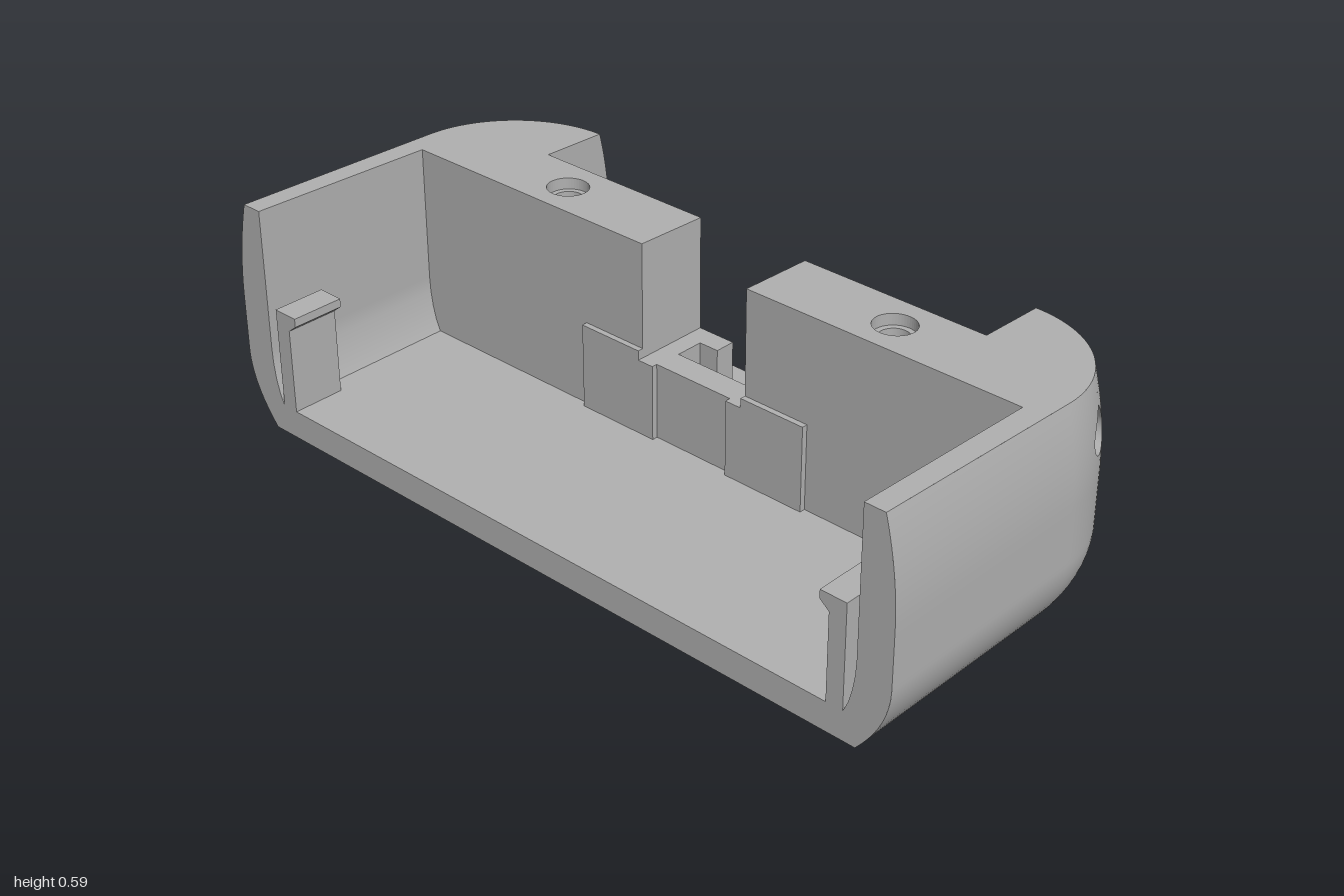
import * as THREE from 'three';

const FRONT = 0.46, FLOOR = 0.075, CX = 0.67, CZ = -0.13, R = 0.33;
const rad = THREE.MathUtils.degToRad, lerp = THREE.MathUtils.lerp;
const V = (x, y, z) => new THREE.Vector3(x, y, z);

// Sloping rim height, and how far the rounded outer wall leans in at a height
const top = z => 0.577 + 0.028 * z;
const inset = y => y < 0.19 ? 0.085 * ((0.19 - y) / 0.19) ** 2
  : y > 0.33 ? 0.033 * ((y - 0.33) / 0.25) ** 2 : 0;

// Outer skin: s < 0 runs along the straight side, s > 0 is the corner angle;
// q is the height, with 0.53..0.6 stretched to reach the sloping rim
function skin(s, q) {
  const a = Math.max(s, 0), dz = Math.max(-s, 0);
  let y = q;
  if (q > 0.53) y = lerp(0.53, top(CZ - 0.297 * Math.sin(a) + dz), (q - 0.53) / 0.07);
  const r = R - inset(y), slope = (inset(y + 1e-3) - inset(y - 1e-3)) / 2e-3;
  return {
    p: V(CX + r * Math.cos(a), y, CZ - r * Math.sin(a) + dz),
    n: V(Math.cos(a), slope, -Math.sin(a)).normalize()
  };
}

// Surface patch from fn(u, v) -> { p, n }; without n the normals are computed
function patch(fn, nu, nv) {
  const pos = [], nor = [], idx = [], pts = [];
  for (let j = 0; j <= nv; j++) for (let i = 0; i <= nu; i++) {
    const k = fn(i / nu, j / nv);
    pts.push(k);
    pos.push(...k.p.toArray());
    if (k.n) nor.push(...k.n.toArray());
  }
  const tri = (a, b, c) => {
    const f = pts[b].p.clone().sub(pts[a].p).cross(pts[c].p.clone().sub(pts[a].p));
    if (pts[a].n && f.dot(pts[a].n) < 0) idx.push(a, c, b); else idx.push(a, b, c);
  };
  for (let j = 0; j < nv; j++) for (let i = 0; i < nu; i++) {
    const a = j * (nu + 1) + i, b = a + nu + 1;
    tri(a, a + 1, b + 1);
    tri(a, b + 1, b);
  }
  const g = new THREE.BufferGeometry();
  g.setAttribute('position', new THREE.Float32BufferAttribute(pos, 3));
  g.setIndex(idx);
  if (nor.length) g.setAttribute('normal', new THREE.Float32BufferAttribute(nor, 3));
  else g.computeVertexNormals();
  return g;
}

const skinPatch = (s0, s1, q0, q1, nu, nv) =>
  patch((u, v) => skin(lerp(s0, s1, u), lerp(q0, q1, v)), nu, nv);

const shape = pts => new THREE.Shape(pts.map(([x, y]) => new THREE.Vector2(x, y)));
const plan = pts => shape(pts.map(([x, z]) => [x, -z]));
const flat = (s, y) => new THREE.ShapeGeometry(s).rotateX(-Math.PI / 2).translate(0, y, 0);
const rise = (s, y0, y1) => new THREE.ExtrudeGeometry(s, { depth: y1 - y0, bevelEnabled: false, curveSegments: 24 })
  .rotateX(-Math.PI / 2).translate(0, y0, 0);

// Moves upper vertices onto the sloping rim plane
function slopeTop(g) {
  const p = g.attributes.position;
  for (let i = 0; i < p.count; i++) if (p.getY(i) > 0.3) p.setY(i, top(p.getZ(i)));
  g.computeVertexNormals();
  return g;
}

// Teardrop pockets: pocket direction, sideways offset, floor distance, corner window
const DROPS = [
  { dir: 0, off: 0.14, floor: 0.2, w: [rad(14), rad(37)] },
  { dir: rad(57), off: 0, floor: 0.18, w: [rad(46), rad(68)] }
];
const BANDS = [[0, 0.37, 20], [0.37, 0.53, 10], [0.53, 0.6, 5]];

function dropPoint(d, u) {
  const th = (u - 0.5) * Math.PI * 2, beta = Math.acos(0.043 / 0.07), t = Math.abs(th);
  const r = t < beta ? 0.043 / Math.cos(beta - t) : 0.043;
  const y = 0.433 + r * Math.cos(th);
  return { th, y, a: d.dir + Math.asin((d.off + r * Math.sin(th)) / (R - inset(y))) };
}

function addDrop(add, d) {
  const N = 48, axis = V(Math.cos(d.dir), 0, -Math.sin(d.dir)), c = V(CX, 0, CZ);
  add('dropSurround', patch((u, v) => {
    const k = dropPoint(d, u), sx = Math.sin(k.th), sy = Math.cos(k.th);
    const m = Math.max(Math.abs(sx), Math.abs(sy));
    const a = (d.w[0] + d.w[1]) / 2 + (d.w[1] - d.w[0]) / 2 * sx / m;
    return skin(lerp(k.a, a, v), lerp(k.y, 0.45 + 0.08 * sy / m, v));
  }, N, 5));
  const ends = u => {
    const k = dropPoint(d, u), p = skin(k.a, k.y).p;
    return [p, p.clone().addScaledVector(axis, d.floor - p.clone().sub(c).dot(axis))];
  };
  add('dropPocketWall', patch((u, v) => {
    const [p, e] = ends(u);
    return { p: p.lerp(e, v) };
  }, N, 1));
  const mid = c.clone().addScaledVector(axis, d.floor)
    .add(V(-Math.sin(d.dir), 0, -Math.cos(d.dir)).multiplyScalar(d.off)).setY(0.433);
  add('dropPocketFloor', patch((u, v) => ({ p: ends(u)[1].lerp(mid, v) }), N, 1));
}

function buildHalf(mat, withDrops) {
  const g = new THREE.Group();
  const add = (name, geo) => {
    const m = new THREE.Mesh(geo, mat);
    m.name = name;
    g.add(m);
  };

  // Outer side wall and rounded back corner
  const sFront = -(FRONT - CZ);
  for (const [q0, q1, n] of BANDS) {
    add('sideWall', skinPatch(sFront, 0, q0, q1, 4, n));
    const cuts = [0, ...DROPS.flatMap(d => d.w), Math.PI / 2];
    for (let i = 0; i < cuts.length - 1; i++)
      if (!(withDrops && q0 === 0.37 && i % 2 === 1))
        add('backCorner', skinPatch(cuts[i], cuts[i + 1], q0, q1, 8, n));
  }
  if (withDrops) DROPS.forEach(d => addDrop(add, d));

  // Outline of the skin at one height, front to back
  const outline = q => {
    const pts = [skin(sFront, q).p];
    for (let i = 0; i <= 40; i++) pts.push(skin(i / 40 * Math.PI / 2, q).p);
    return pts.map(p => [p.x, p.z]);
  };

  // Underside, floor and low back edge
  add('underside', flat(plan([[0, FRONT], ...outline(0), [0, CZ - R + inset(0)]]), 0));
  const backZ = CZ - R + inset(FLOOR);
  add('floor', flat(plan([[0, FRONT], [0.88, FRONT], [0.88, -0.05], [CX, -0.05], [CX, backZ], [0, backZ]]), FLOOR));
  add('backEdge', patch((u, v) => {
    const k = skin(Math.PI / 2, v * FLOOR);
    k.p.x = CX * u;
    return k;
  }, 1, 8));

  // Rim cap over the wall and corner, and the corner's inner face
  add('rim', slopeTop(flat(plan([...outline(0.6), [CX, -0.25], [0.8, -0.25],
    [0.8, -0.2], [0.91, -0.05], [0.91, FRONT]]), 0.5)));
  add('cornerInnerFace', patch((u, v) => {
    const p = skin(Math.PI / 2, lerp(FLOOR, 0.6, v)).p;
    const z = lerp(p.z, -0.25, u);
    return { p: V(CX, v === 1 ? top(z) : p.y, z), n: V(-1, 0, 0) };
  }, 1, 16));

  // Inner wall with a curved foot, and the front end face
  const inner = [[0.91, 0.6], [0.91, 0.22], [0.908, 0.18], [0.902, 0.14], [0.893, 0.105], [0.88, FLOOR]];
  add('innerWall', patch((u, v) => {
    const [x, y] = inner[Math.round(v * 5)], z = lerp(FRONT, -0.05, u);
    return { p: V(x, v === 0 ? top(z) : y, z), n: V(-1, v > 0.3 ? v * 0.4 : 0, 0).normalize() };
  }, 1, 5));
  const edge = [];
  for (let i = 0; i <= 30; i++) {
    const p = skin(sFront, i / 30 * 0.6).p;
    edge.push([p.x, p.y]);
  }
  add('frontEdge', new THREE.ShapeGeometry(shape([[0, 0], ...edge, [0.91, top(FRONT)],
    ...inner.slice(1), [0, FLOOR]])).translate(0, 0, FRONT));

  // Rear block with a stepped screw hole
  const block = plan([[0.16, -0.05], [0.91, -0.05], [0.8, -0.2], [0.8, -0.25], [0.16, -0.25]]);
  block.holes.push(new THREE.Path().absarc(0.5, 0.15, 0.052, 0, Math.PI * 2, true));
  add('rearBlock', slopeTop(rise(block, FLOOR, 0.57)));
  const hole = [[0.052, -0.03], [0.038, -0.03], [0.038, -0.03], [0.038, -0.15], [0.038, -0.15], [0, -0.15]];
  add('screwHole', new THREE.LatheGeometry(hole.map(([x, y]) => new THREE.Vector2(x, y)), 32)
    .translate(0.5, top(-0.15), -0.15));

  // Thin pad on the block face, lower inside the notch
  const pad = shape([[0.115, FLOOR], [0.345, FLOOR], [0.345, 0.3], [0.16, 0.3], [0.16, 0.275], [0.115, 0.275]]);
  add('facePad', new THREE.ExtrudeGeometry(pad, { depth: 0.015, bevelEnabled: false }).translate(0, 0, -0.05));

  // Hooked clip near the front
  const clip = shape([[0.835, FLOOR], [0.88, FLOOR], [0.88, 0.34], [0.81, 0.34], [0.81, 0.318], [0.835, 0.298]]);
  add('clip', new THREE.ExtrudeGeometry(clip, { depth: FRONT - 0.32, bevelEnabled: false }).translate(0, 0, 0.32));
  return g;
}

export function createModel() {
  const grey = new THREE.MeshStandardMaterial({ color: 0xb0b0b0, side: THREE.DoubleSide });
  grey.name = 'grey plastic';
  const model = new THREE.Group();
  model.name = 'tray';

  const left = buildHalf(grey, true);
  left.name = 'leftHalf';
  const right = buildHalf(grey, false);
  right.name = 'rightHalf';
  right.scale.x = -1;

  // Low centre bridge with a T-shaped slot open to the back
  const slot = [[0.16, -0.05], [0.16, -0.25], [0.055, -0.25], [0.055, -0.195], [0.11, -0.195], [0.11, -0.12]];
  const bridge = plan([...slot, ...slot.map(([x, z]) => [-x, z]).reverse()]);
  const slotBridge = new THREE.Mesh(rise(bridge, FLOOR, 0.275), grey);
  slotBridge.name = 'slotBridge';

  model.add(left, right, slotBridge);
  return model;
}
